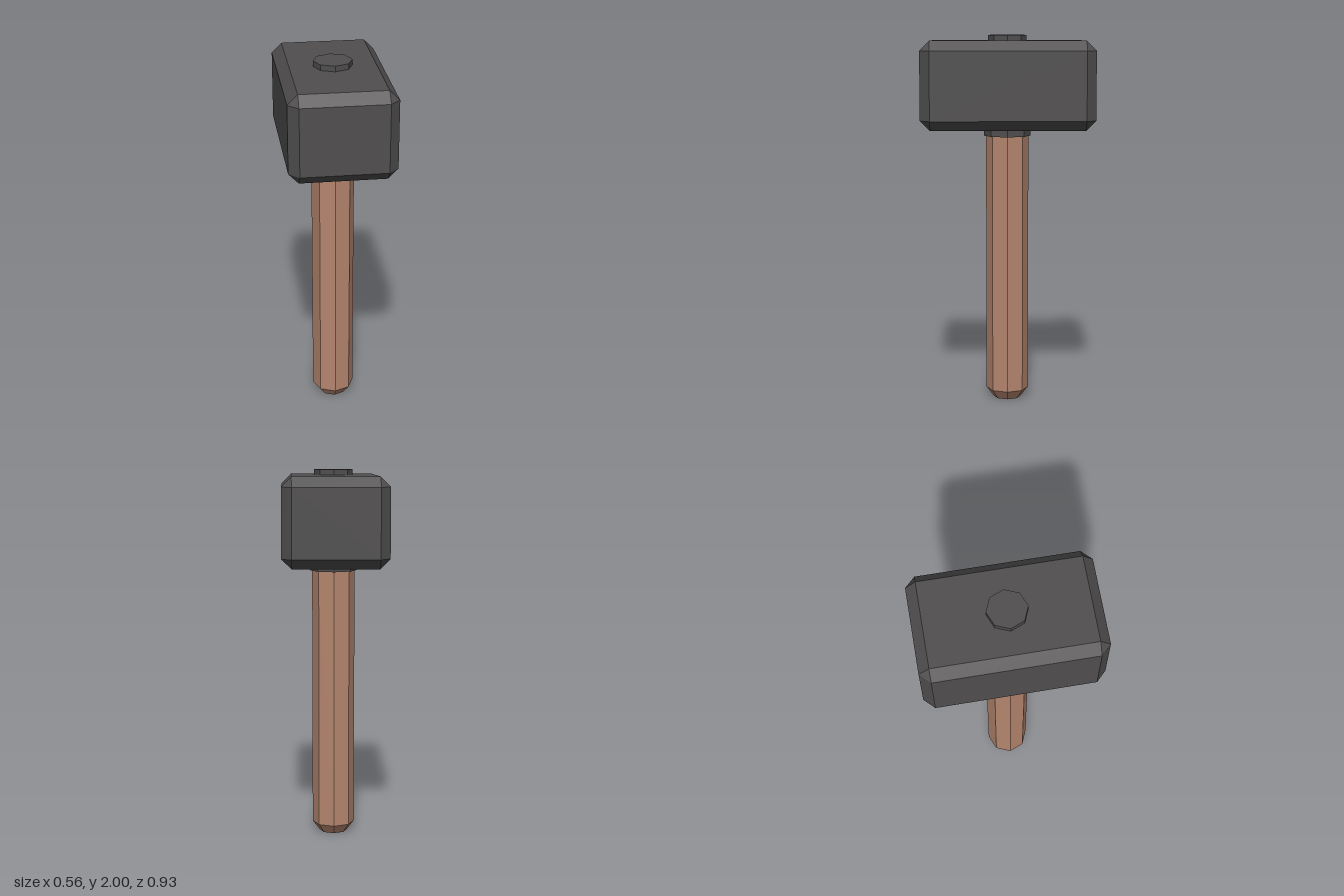
import * as THREE from 'three';
import { ConvexGeometry } from 'three/addons/geometries/ConvexGeometry.js';

const SIDES = 8;
const wood = new THREE.MeshStandardMaterial({ color: 0xb5866f, flatShading: true });
const iron = new THREE.MeshStandardMaterial({ color: 0x504e4e, flatShading: true });

// Box with every edge and corner cut off: three points per corner
function chamferedBox(hx, hy, hz, c) {
  const points = [];
  for (const x of [-1, 1]) for (const y of [-1, 1]) for (const z of [-1, 1]) {
    points.push(
      new THREE.Vector3(x * hx, y * (hy - c), z * (hz - c)),
      new THREE.Vector3(x * (hx - c), y * hy, z * (hz - c)),
      new THREE.Vector3(x * (hx - c), y * (hy - c), z * hz));
  }
  return new ConvexGeometry(points);
}

// Closed octagonal solid turned from [radius, height] pairs, bottom to top
function octagonal(profile) {
  return new THREE.LatheGeometry(profile.map(([r, y]) => new THREE.Vector2(r, y)), SIDES);
}

export function createModel() {
  const group = new THREE.Group();
  const add = (name, geometry, material, y = 0) => {
    const mesh = new THREE.Mesh(geometry, material);
    mesh.name = name;
    mesh.position.y = y;
    group.add(mesh);
  };

  // Wooden shaft with a tapered butt
  add('handle', octagonal([[0, 0], [0.075, 0], [0.115, 0.052], [0.115, 1.48], [0, 1.48]]), wood);

  // Iron collar under the head
  add('collar', octagonal([[0, 1.458], [0.126, 1.458], [0.126, 1.51], [0, 1.51]]), iron);

  // Heavy chamfered head, long from front to back
  add('head', chamferedBox(0.279, 0.235, 0.463, 0.053), iron, 1.735);

  // Cap where the shaft comes through the head
  add('topCap', octagonal([[0, 1.95], [0.103, 1.95], [0.103, 2], [0, 2]]), iron);

  return group;
}
